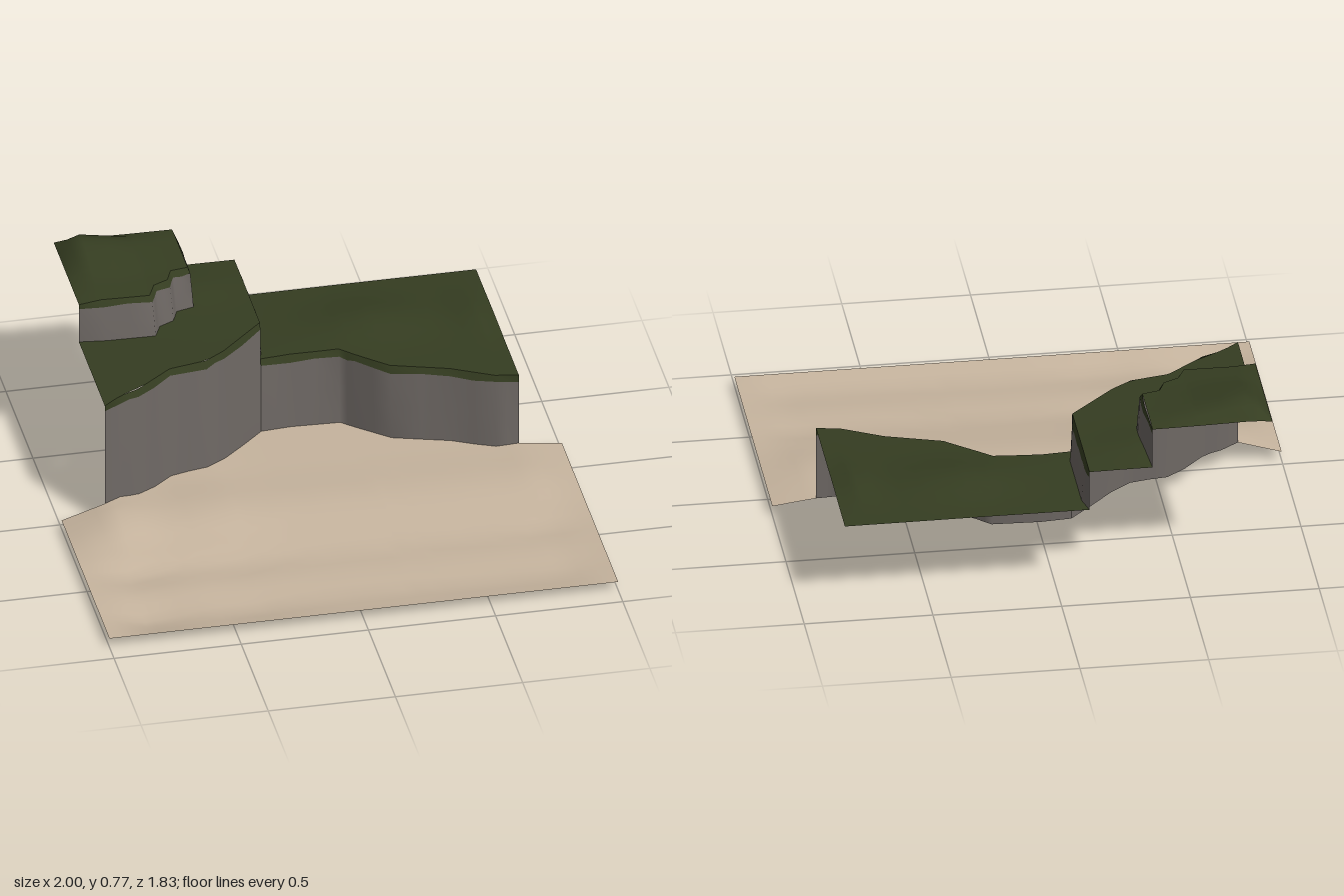
import * as THREE from 'three';

const make = (name, color) => {
  const m = new THREE.MeshStandardMaterial({ color, side: THREE.DoubleSide });
  m.name = name;
  return m;
};

// Piecewise-linear lookup through [position, value] pairs in rising order
function lerpTable(t, x) {
  if (x <= t[0][0]) return t[0][1];
  for (let i = 1; i < t.length; i++) {
    const [a, p] = t[i - 1], [b, q] = t[i];
    if (x <= b) return p + (q - p) * (x - a) / (b - a);
  }
  return t[t.length - 1][1];
}

// Split every span of a list of points (numbers or pairs) into n steps
function subdivide(list, n) {
  const mix = (a, b, t) => Array.isArray(a) ? a.map((v, k) => v + (b[k] - v) * t) : a + (b - a) * t;
  const out = [];
  for (let i = 0; i < list.length - 1; i++)
    for (let s = 0; s < n; s++) out.push(mix(list[i], list[i + 1], s / n));
  out.push(list[list.length - 1]);
  return out;
}

// Grid surface: point(column, row) gives [x, y, z]
function surface(name, material, cols, rows, point) {
  const pos = [], index = [];
  for (let i = 0; i <= cols; i++)
    for (let j = 0; j <= rows; j++) pos.push(...point(i, j));
  for (let i = 0; i < cols; i++)
    for (let j = 0; j < rows; j++) {
      const a = i * (rows + 1) + j, b = a + rows + 1;
      index.push(a, b, a + 1, b, b + 1, a + 1);
    }
  const g = new THREE.BufferGeometry();
  g.setAttribute('position', new THREE.Float32BufferAttribute(pos, 3));
  g.setIndex(index);
  g.computeVertexNormals();
  const mesh = new THREE.Mesh(g, material);
  mesh.name = name;
  return mesh;
}

// Ground sheet between a back line and a front line, with heights from a rule
function ground(name, material, xs, rows, back, front, height) {
  return surface(name, material, xs.length - 1, rows, (i, j) => {
    const x = xs[i], b = back(x), f = front(x);
    const z = f + (b - f) * j / rows;
    return [x, height(x, z), z];
  });
}

const BACK = -0.915, FRONT = 0.915, SPLIT = -0.12, TIER = -0.365;

// Plan lines of the cliff edge and the upper terrace edge, as [x, z]
const cliffLeft = [[-0.83, 0.03], [-0.76, -0.03], [-0.68, -0.065], [-0.53, -0.185], [-0.38, -0.215],
  [-0.3, -0.27], [SPLIT, -0.445]];
const cliffRight = [[SPLIT, -0.445], [0, -0.455], [0.19, -0.447], [0.24, -0.4], [0.36, -0.295],
  [0.58, -0.225], [0.74, -0.14], [0.83, -0.125]];
const tierFront = [[-0.83, -0.45], [-0.74, -0.465], [-0.55, -0.46], [-0.52, -0.525], [-0.46, -0.555],
  [-0.435, -0.615], [TIER, -0.63]];
const cliff = [...cliffLeft, ...cliffRight.slice(1)];
const cliffZ = x => lerpTable(cliff, x);
const tierZ = x => lerpTable(tierFront, x);
const cliffLean = x => 0.027 * Math.max(0, Math.min(1, (0.83 - Math.abs(x)) / 0.12));
const xsOf = (line, n) => subdivide(line.map(p => p[0]), n);

// Height rules
const bump = (x, z, cx, cz, wx, wz) => Math.exp(-(((x - cx) / wx) ** 2) - ((z - cz) / wz) ** 2);
const sandWave = [[-0.43, 0.025], [-0.1, 0.028], [0, 0.036], [0.1, 0.042], [0.2, 0.034], [0.3, 0.013],
  [0.38, 0], [0.45, -0.018], [0.6, -0.009], [0.78, -0.028], [0.915, 0]];
const sandSide = [[-1, 1.43], [-0.75, 1.43], [-0.6, 0.9], [-0.42, 1.2], [-0.2, 0.8], [0.4, 0.75], [1, 0.8]];
const sandY = (x, z) => 0.04 + lerpTable(sandWave, z) * lerpTable(sandSide, x) * Math.min(1, (1 - Math.abs(x)) / 0.17);
const lowY = (x, z) => 0.37 + 0.034 * bump(x, z, 0.36, -0.62, 0.22, 0.15) + 0.024 * bump(x, z, 0.74, -0.58, 0.06, 0.15);
const midY = (x, z) => 0.535 + 0.016 * bump(x, z, -0.32, -0.74, 0.15, 0.12);
const tierAcross = [[-0.83, 0], [-0.76, 1], [-0.55, 0.35], [-0.42, 0.12], [TIER, 0.05]];
const tierDeep = [[BACK, 0.1], [-0.86, 0.93], [-0.8, 1], [-0.7, 0.72], [-0.6, 0.3], [-0.46, 0.02]];
const tierY = (x, z) => 0.703 + 0.072 * lerpTable(tierAcross, x) * lerpTable(tierDeep, z);

export function createModel() {
  const sand = make('sand', 0xc6b49e);
  const rock = make('rock', 0x6f6965);
  const grass = make('grass', 0x353d21);
  const model = new THREE.Group();
  model.name = 'terracedCliff';

  // Rock face under a plan line, finished by a thin turf lip; lean(x, t) moves the foot outwards
  function wall(name, line, foot, top, lean, lip = 0.028) {
    const pts = subdivide(line, 2), n = pts.length - 1;
    const at = (i, k) => {
      const [x, z] = pts[i], [dx, dz] = lean(x, i / n);
      const fx = x + dx, fz = z + dz, y0 = foot(fx, fz), y1 = top(x, z);
      const ragged = y1 - lip - (i % 3 - 1) * 0.004;
      return k === 0 ? [fx, y0, fz]
        : k === 1 ? [x + dx * 0.75, y0 + (ragged - y0) * 0.5, z + dz * 0.75]
        : k === 2 ? [x + dx * 0.45, ragged, z + dz * 0.45] : [x, y1, z];
    };
    const group = new THREE.Group();
    group.name = name;
    group.add(
      surface(name + 'Rock', rock, n, 2, (i, j) => at(i, j)),
      surface(name + 'TurfLip', grass, n, 1, (i, j) => at(i, j + 2)),
    );
    model.add(group);
  }

  // Beach
  const beachXs = [...subdivide([-1, -0.83], 4).slice(0, -1), ...xsOf(cliff, 2), ...subdivide([0.83, 1], 4).slice(1)];
  model.add(ground('beach', sand, beachXs, 18, x => cliffZ(x) + cliffLean(x), () => FRONT, sandY));

  // Grass terraces
  model.add(
    ground('lowerTerrace', grass, xsOf(cliffRight, 3), 10, () => BACK, cliffZ, lowY),
    ground('middleTerraceFront', grass, xsOf(tierFront, 2), 8, tierZ, cliffZ, midY),
    ground('middleTerraceSide', grass, subdivide([TIER, -0.3, SPLIT], 3), 10, () => BACK, cliffZ, midY),
    ground('upperTerrace', grass, xsOf(tierFront, 2), 10, () => BACK, tierZ, tierY),
  );

  // Sea cliff, in a high and a low stretch
  const seaLean = x => [0, cliffLean(x)];
  wall('highCliff', cliffLeft, sandY, midY, seaLean);
  wall('lowCliff', cliffRight, sandY, lowY, seaLean);

  // Steps between terraces
  const taper = t => Math.max(0, Math.min(1, t * 8, (1 - t) * 6));
  wall('middleStep', subdivide([[SPLIT, -0.445], [SPLIT, BACK]], 6), lowY, midY, (x, t) => [0.02 * taper(t), 0]);
  wall('upperStep', [...tierFront, [-0.36, -0.74], [TIER, BACK]], midY, tierY,
    (x, t) => [0.018 * taper(t), 0.028 * taper(t)], 0.024);

  return model;
}
